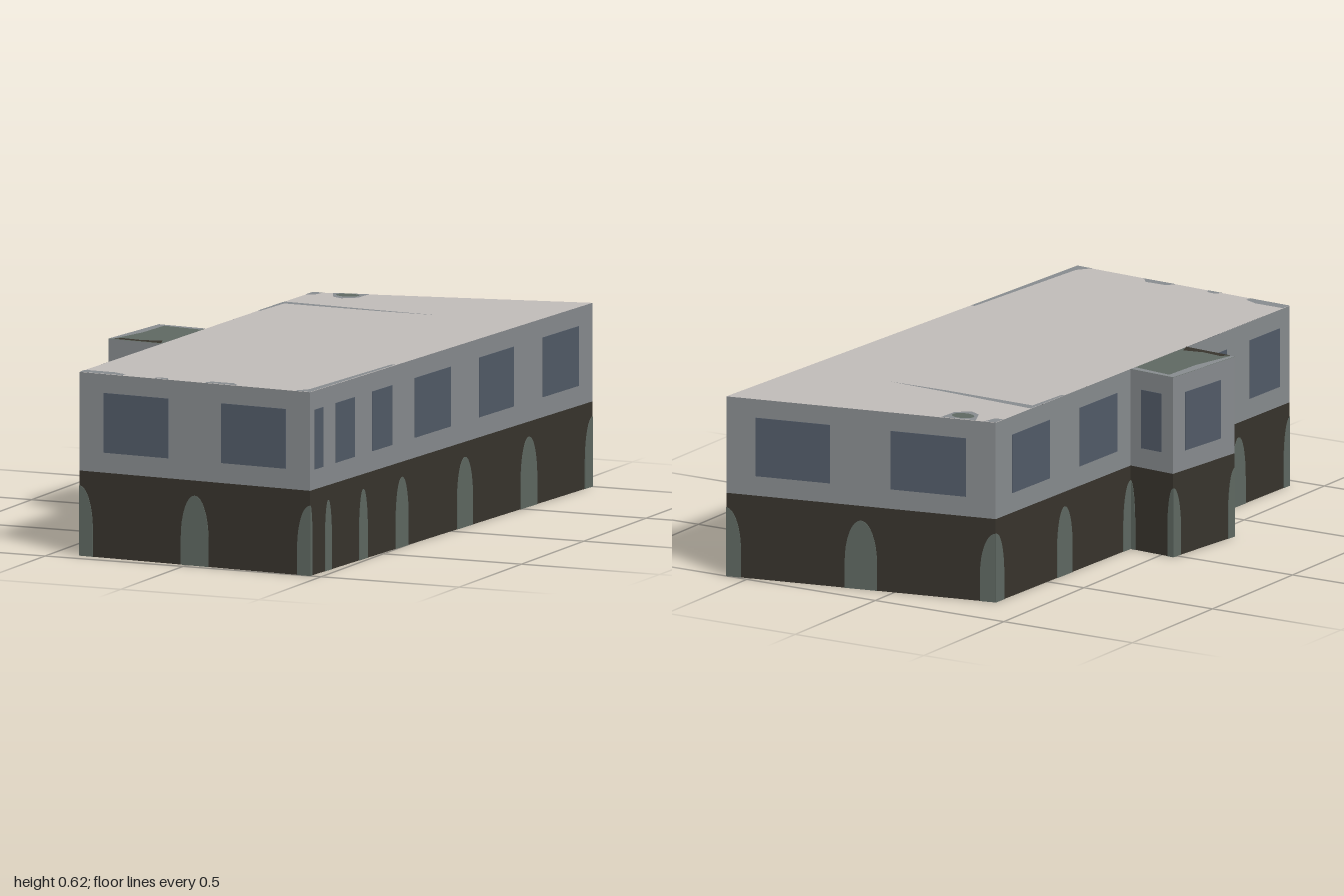
import * as THREE from 'three';

const HEIGHT = 0.615, BAND = 0.285;

function material(name, color) {
  const m = new THREE.MeshStandardMaterial({ color, side: THREE.DoubleSide });
  m.name = name;
  return m;
}

const MAT = {
  stone: material('dark brown stone', 0x38342d),
  plaster: material('grey plaster', 0x888c8f),
  glass: material('blue grey glass', 0x525b68),
  arch: material('green grey arch', 0x5f6962),
  roof: material('pale roof', 0xc1bcb9),
};

// Footprint corners [x, z], named by position
const backRight = [-0.35, -0.81], backLeft = [0.58, -1.0];
const frontLeft = [0.46, 1.0], frontRight = [-0.40, 0.945];
const annexA = [-0.373, -0.005], annexB = [-0.548, -0.02];
const annexC = [-0.583, 0.308], annexD = [-0.384, 0.325];

// Each wall runs left to right as seen from outside.
// Windows are [start, end], arches [centre, half width], as fractions of the wall.
const WALLS = [
  { name: 'frontWall', from: frontRight, to: frontLeft,
    windows: [[0.105, 0.385], [0.615, 0.895]], arches: [[0, 0.058], [0.5, 0.06], [1, 0.055]] },
  { name: 'leftWall', from: frontLeft, to: backLeft,
    windows: [[0.015, 0.045], [0.09, 0.157], [0.22, 0.29], [0.37, 0.498], [0.598, 0.72], [0.823, 0.95]],
    arches: [[0, 0.0075], [0.064, 0.012], [0.188, 0.015], [0.325, 0.0225], [0.5475, 0.028], [0.774, 0.029], [1, 0.0275]] },
  { name: 'backWall', from: backLeft, to: backRight,
    windows: [[0.11, 0.385], [0.61, 0.89]], arches: [[0, 0.055], [0.5, 0.06], [1, 0.058]] },
  { name: 'rightWallBack', from: backRight, to: annexA,
    windows: [[0.12, 0.40], [0.62, 0.90]], arches: [[0, 0.06], [0.51, 0.057], [1, 0.055]] },
  { name: 'annexBackWall', from: annexA, to: annexB,
    windows: [[0.25, 0.73]], arches: [[0, 0.11], [1, 0.13]] },
  { name: 'annexSideWall', from: annexB, to: annexC,
    windows: [[0.19, 0.77]], arches: [[0, 0.12], [1, 0.11]] },
  { name: 'annexFrontWall', from: annexC, to: annexD,
    windows: [[0.22, 0.78]], arches: [[0, 0.11], [1, 0.11]] },
  { name: 'rightWallFront', from: annexD, to: frontRight,
    windows: [[0.11, 0.39], [0.61, 0.90]], arches: [[0, 0.06], [0.505, 0.065], [1, 0.06]] },
];

const toShape = (pts) => new THREE.Shape(pts.map(([x, y]) => new THREE.Vector2(x, y)));
const rect = (x0, y0, x1, y1) => toShape([[x0, y0], [x1, y0], [x1, y1], [x0, y1]]);

function addMesh(parent, name, geometry, mat) {
  const mesh = new THREE.Mesh(geometry, mat);
  mesh.name = name;
  parent.add(mesh);
  return mesh;
}

// Thin plate through the wall, showing on both of its sides
function addPlate(parent, name, shape, mat) {
  const g = new THREE.ExtrudeGeometry(shape, { depth: 0.004, bevelEnabled: false });
  addMesh(parent, name, g.translate(0, 0, -0.002), mat);
}

// Round-topped arch, cut off where it meets a wall corner
function archShape(centre, half, length) {
  const a = Math.max(0, centre - half), b = Math.min(length, centre + half);
  const pts = [[b, 0], [a, 0]].reverse();
  pts.reverse();
  const top = [];
  for (let i = 0; i <= 16; i++) {
    const x = a + (b - a) * (0.5 - 0.5 * Math.cos(Math.PI * i / 16));
    const t = Math.min(1, Math.abs(x - centre) / half);
    top.push([x, 0.09 + 0.145 * Math.sqrt(1 - t * t)]);
  }
  return toShape([...pts, ...top]);
}

function buildWall({ name, from, to, windows, arches }) {
  const wall = new THREE.Group();
  wall.name = name;
  const dx = to[0] - from[0], dz = to[1] - from[1];
  const length = Math.hypot(dx, dz);
  addMesh(wall, 'lowerWall', new THREE.ShapeGeometry(rect(0, 0, length, BAND)), MAT.stone);
  addMesh(wall, 'upperWall', new THREE.ShapeGeometry(rect(0, BAND, length, HEIGHT)), MAT.plaster);
  for (const [a, b] of windows)
    addPlate(wall, 'window', rect(a * length, 0.352, b * length, 0.552), MAT.glass);
  for (const [c, h] of arches)
    addPlate(wall, 'arch', archShape(c * length, h * length, length), MAT.arch);
  wall.position.set(from[0], 0, from[1]);
  wall.rotation.y = Math.atan2(-dz, dx);
  return wall;
}

// Horizontal face from [x, z] points
function addFlat(parent, name, pts, y, mat) {
  const g = new THREE.ShapeGeometry(toShape(pts.map(([x, z]) => [x, -z])));
  addMesh(parent, name, g.rotateX(-Math.PI / 2).translate(0, y, 0), mat);
}

const blob = (x, z, rx, rz) => Array.from({ length: 16 }, (_, i) => {
  const a = i * Math.PI / 8;
  return [x + rx * Math.cos(a), z + rz * Math.sin(a)];
});

export function createModel() {
  const model = new THREE.Group();
  model.name = 'building';
  for (const w of WALLS) model.add(buildWall(w));

  // Flat roofs
  addFlat(model, 'mainRoof', [backRight, backLeft, frontLeft, frontRight], HEIGHT, MAT.roof);
  addFlat(model, 'annexRoof', [annexA, annexB, annexC, annexD], HEIGHT, MAT.arch);

  // Weathered patches on the roofs
  const y = HEIGHT + 0.001;
  const patches = [
    [[-0.40, 0.945], [-0.398, 0.905], [-0.29, 0.908], [-0.24, 0.93], [-0.24, 0.954]],
    [[0.494, 0.39], [0.46, 1.0], [0.40, 0.995], [0.435, 0.95], [0.48, 0.39]],
    [[-0.355, -0.60], [0.0, -0.572], [0.22, -0.56], [0.0, -0.555], [-0.357, -0.565]],
    [[-0.357, -0.565], [-0.34, -0.565], [-0.352, -0.40], [-0.362, -0.40]],
    [[-0.35, -0.81], [-0.31, -0.817], [-0.32, -0.77], [-0.35, -0.76]],
    [[0.06, 0.974], [0.08, 0.945], [0.16, 0.945], [0.19, 0.98]],
    [[-0.13, 0.962], [-0.11, 0.94], [-0.08, 0.945], [-0.07, 0.965]],
    [[-0.28, -0.823], [-0.16, -0.847], [-0.165, -0.77], [-0.21, -0.735], [-0.25, -0.755]],
    [[-0.548, -0.02], [-0.373, -0.005], [-0.378, 0.02], [-0.52, 0.0], [-0.53, 0.15], [-0.568, 0.305], [-0.583, 0.308]],
  ];
  for (const p of patches) addFlat(model, 'roofPatch', p, y, MAT.plaster);
  addFlat(model, 'roofSpot', blob(-0.215, -0.797, 0.04, 0.03), y + 0.001, MAT.arch);
  addFlat(model, 'annexRoofEdge',
    [[-0.568, 0.309], [-0.54, 0.285], [-0.47, 0.295], [-0.40, 0.28], [-0.384, 0.325]], y + 0.001, MAT.stone);
  return model;
}
